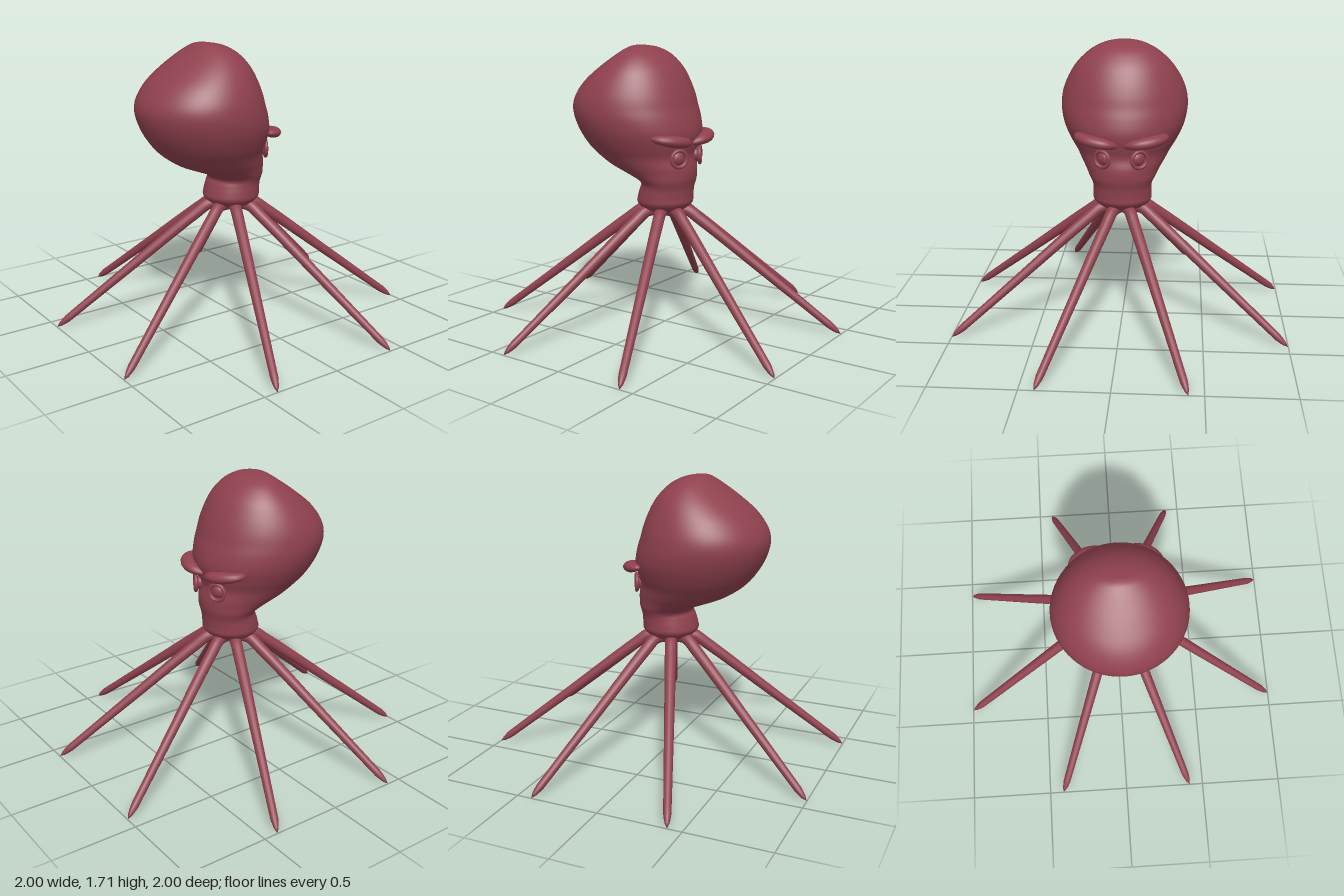
import * as THREE from 'three';
import { mergeVertices } from 'three/addons/utils/BufferGeometryUtils.js';

const skin = new THREE.MeshStandardMaterial({ color: 0x8f414e });

function add(parent, geometry, name) {
  const mesh = new THREE.Mesh(geometry, skin);
  mesh.name = name;
  parent.add(mesh);
  return mesh;
}

// Head rings: [height, half width, front z, back z]
const headRings = [
  [0.69, 0, 0, 0], [0.70, 0.05, 0.05, -0.05], [0.73, 0.13, 0.12, -0.12],
  [0.77, 0.173, 0.164, -0.164], [0.81, 0.177, 0.16, -0.168], [0.86, 0.176, 0.143, -0.172],
  [0.89, 0.182, 0.13, -0.178], [0.92, 0.198, 0.16, -0.185], [0.96, 0.222, 0.26, -0.188],
  [1.00, 0.25, 0.355, -0.185], [1.06, 0.287, 0.445, -0.172], [1.12, 0.326, 0.505, -0.185],
  [1.20, 0.364, 0.558, -0.198], [1.28, 0.384, 0.59, -0.183], [1.35, 0.385, 0.598, -0.16],
  [1.42, 0.37, 0.573, -0.14], [1.50, 0.334, 0.51, -0.108], [1.58, 0.28, 0.41, -0.062],
  [1.65, 0.205, 0.31, 0.005], [1.69, 0.13, 0.25, 0.075], [1.705, 0.065, 0.22, 0.14], [1.71, 0, 0.19, 0.19],
];

// Smooth loft of ellipses through the rings
function headGeometry(rows = 100, sides = 64) {
  const size = new THREE.SplineCurve(headRings.map(r => new THREE.Vector2(r[0], r[1])));
  const depth = new THREE.SplineCurve(headRings.map(r => new THREE.Vector2(r[2], r[3])));
  const position = [], index = [];
  for (let i = 0; i <= rows; i++) {
    const s = size.getPoint(i / rows), d = depth.getPoint(i / rows);
    for (let j = 0; j < sides; j++) {
      const a = j / sides * Math.PI * 2;
      position.push(s.y * Math.cos(a), s.x, (d.x + d.y) / 2 + (d.x - d.y) / 2 * Math.sin(a));
      if (i === rows) continue;
      const p = i * sides + j, q = i * sides + (j + 1) % sides;
      index.push(p, p + sides, q, q, p + sides, q + sides);
    }
  }
  const g = new THREE.BufferGeometry();
  g.setAttribute('position', new THREE.Float32BufferAttribute(position, 3));
  g.setIndex(index);
  g.computeVertexNormals();
  return g;
}

// Tube whose radius follows radiusAt(t); flat squashes it vertically
function taperedTube(points, radiusAt, flat = 1, steps = 48, sides = 16) {
  const curve = new THREE.CatmullRomCurve3(points.map(p => new THREE.Vector3(...p)));
  let g = new THREE.TubeGeometry(curve, steps, 1, sides);
  const pos = g.attributes.position, v = new THREE.Vector3();
  for (let i = 0; i <= steps; i++) {
    const c = curve.getPointAt(i / steps), r = radiusAt(i / steps);
    for (let j = 0; j <= sides; j++) {
      const k = i * (sides + 1) + j;
      v.fromBufferAttribute(pos, k).sub(c).multiplyScalar(r);
      pos.setXYZ(k, c.x + v.x, c.y + v.y * flat, c.z + v.z);
    }
  }
  g.deleteAttribute('uv');
  g.deleteAttribute('normal');
  g = mergeVertices(g, 1e-5);
  g.computeVertexNormals();
  return g;
}

export function createModel() {
  const model = new THREE.Group();
  model.name = 'octopus';
  add(model, headGeometry(), 'head');

  // Eight straight tentacles, evenly spread
  const tentacle = taperedTube([[0.02, 0.72, 0], [0.13, 0.725, 0], [0.22, 0.665, 0], [0.65, 0.335, 0], [1.08, 0.004, 0]],
    t => (0.037 - 0.016 * t) * Math.sqrt(Math.min(1, (1 - t) / 0.06)));
  for (let i = 0; i < 8; i++) {
    add(model, tentacle, 'tentacle').rotation.y = (i + 0.5) * Math.PI / 4;
  }

  // Face on the back side: eyes, eye rims and heavy brows
  for (const s of [-1, 1]) {
    const eye = new THREE.Group();
    eye.name = s > 0 ? 'leftEye' : 'rightEye';
    eye.position.set(s * 0.11, 1.06, -0.178);
    eye.rotation.y = Math.PI - s * 0.5;
    add(eye, new THREE.TorusGeometry(0.049, 0.011, 12, 40), 'eyeRim');
    const ball = add(eye, new THREE.SphereGeometry(0.042, 28, 18), 'eyeball');
    ball.position.z = -0.025;
    ball.scale.z = 0.7;
    model.add(eye);

    add(model, taperedTube(
      [[s * 0.015, 1.135, -0.165], [s * 0.09, 1.155, -0.2], [s * 0.17, 1.168, -0.185], [s * 0.235, 1.18, -0.14], [s * 0.265, 1.19, -0.08]],
      t => 0.047 * Math.pow(Math.sin(Math.PI * Math.min(1, Math.max(0, t))), 0.45), 0.72, 32, 16),
    s > 0 ? 'leftBrow' : 'rightBrow');
  }
  return model;
}
